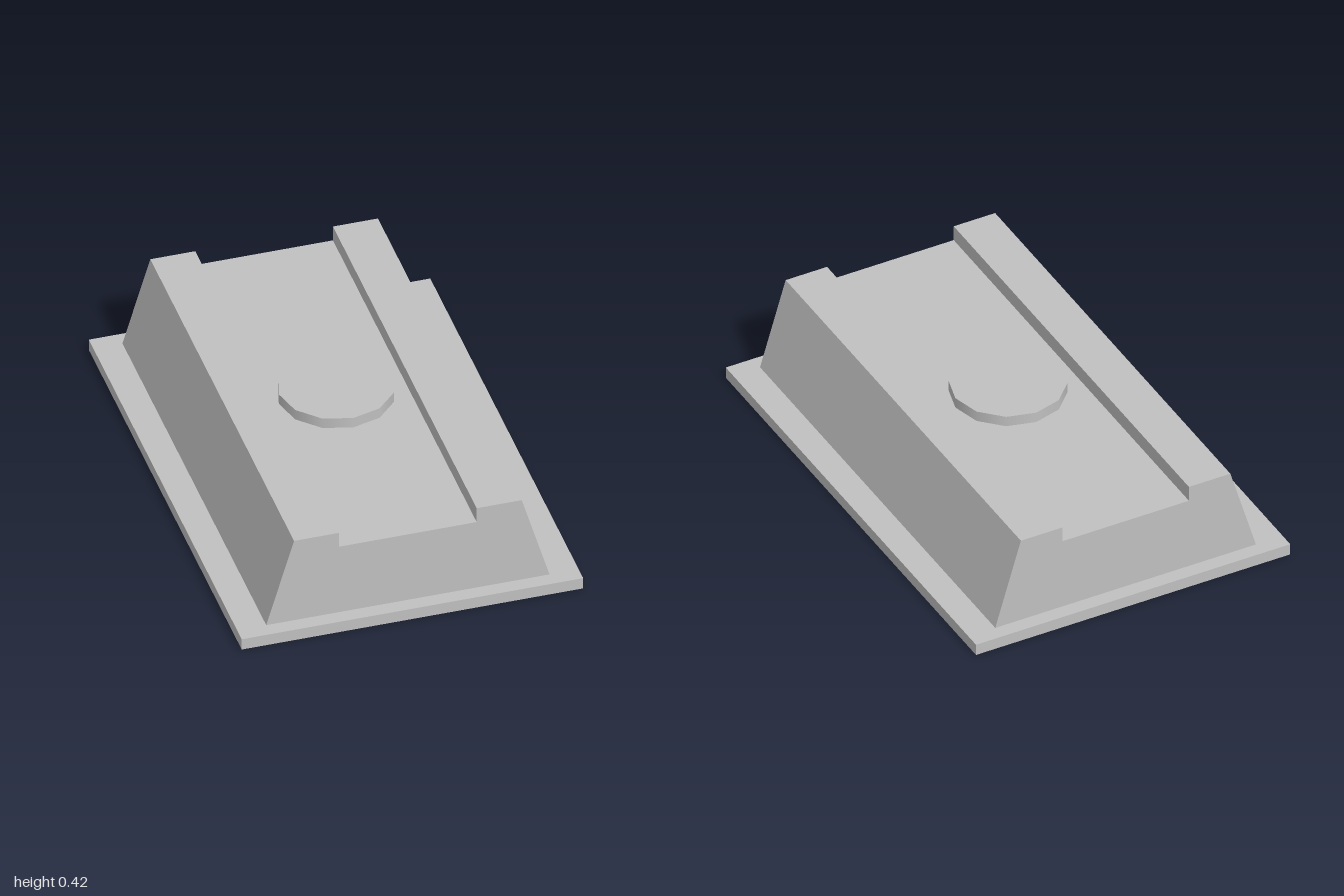
import * as THREE from 'three';

export function createModel() {
  const model = new THREE.Group();
  const grey = new THREE.MeshStandardMaterial({ color: 0xc0c0c0 });
  grey.name = 'light grey';

  const add = (name, geometry, y) => {
    const mesh = new THREE.Mesh(geometry, grey);
    mesh.name = name;
    mesh.position.y = y;
    model.add(mesh);
  };

  // Thin flange at the bottom
  const baseHeight = 0.048;
  add('basePlate', new THREE.BoxGeometry(1.35, baseHeight, 2), baseHeight / 2);

  // Tapered body with a channel between two raised rails
  const half = [[0.56, baseHeight], [0.45, 0.42], [0.272, 0.42], [0.272, 0.355]];
  const mirrored = half.map(([x, y]) => [-x, y]).reverse();
  const profile = new THREE.Shape([...half, ...mirrored].map(([x, y]) => new THREE.Vector2(x, y)));
  const length = 1.88;
  const body = new THREE.ExtrudeGeometry(profile, { depth: length, bevelEnabled: false });
  body.translate(0, 0, -length / 2);
  add('channelBody', body, 0);

  // Low twelve-sided disc in the channel
  add('centreDisc', new THREE.CylinderGeometry(0.226, 0.226, 0.045, 12), 0.3765);

  return model;
}
